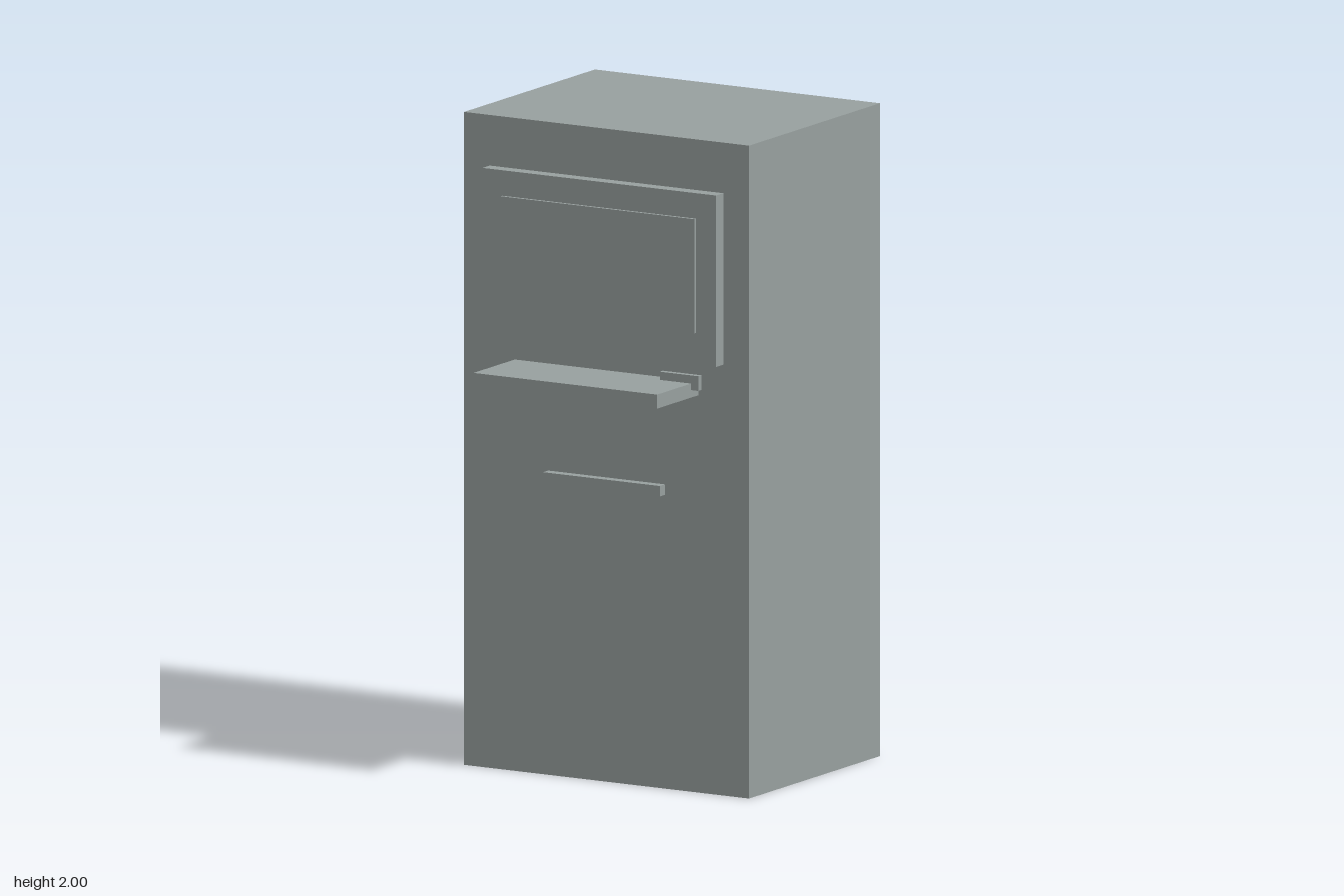
import * as THREE from 'three';

export function createModel() {
  const group = new THREE.Group();
  const grey = new THREE.MeshStandardMaterial({ color: 0x98a09f });
  grey.name = 'grey';

  // Box given by its limits on each axis
  const addBox = (name, [x0, x1], [y0, y1], [z0, z1]) => {
    const mesh = new THREE.Mesh(new THREE.BoxGeometry(x1 - x0, y1 - y0, z1 - z0), grey);
    mesh.position.set((x0 + x1) / 2, (y0 + y1) / 2, (z0 + z1) / 2);
    mesh.name = name;
    group.add(mesh);
  };

  addBox('cabinet', [-0.5, 0.5], [0, 2], [-0.5, 0.26]);
  // Display: raised frame with a thin screen on it
  addBox('screenFrame', [-0.41, 0.41], [1.32, 1.845], [0.26, 0.302]);
  addBox('screen', [-0.34, 0.34], [1.417, 1.767], [0.302, 0.312]);
  // Keyboard shelf and the slots around it
  addBox('shelf', [-0.322, 0.322], [1.217, 1.26], [0.26, 0.5]);
  addBox('cardSlot', [0.212, 0.348], [1.24, 1.285], [0.284, 0.302]);
  addBox('dispenserSlot', [-0.205, 0.205], [0.9, 0.932], [0.26, 0.29]);

  return group;
}
